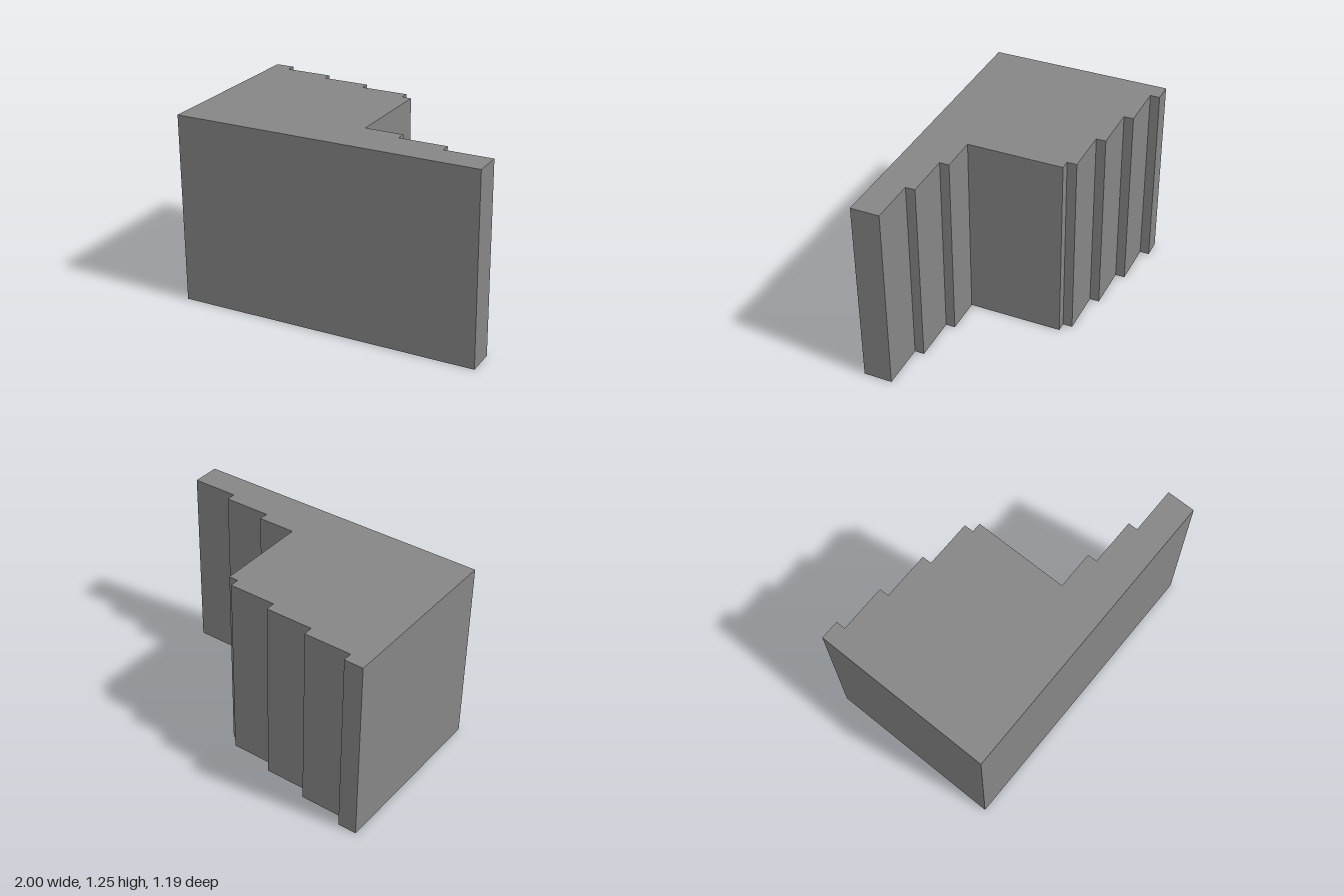
import * as THREE from 'three';

const UNIT = 1 / 16;
const HEIGHT = 20 * UNIT;
const FRONT = 9.5; // front wall, in units along z

// Back edge of the plan as steps, in units: [right end x, z of the step]
const steps = [
  [-14, -9.5], [-9, -8.5], [-4, -7.5], [1, -6.5], [2, -5.5],
  [6, 4.5], [11, 5.5], [16, 6.5],
];

export function createModel() {
  const group = new THREE.Group();
  group.name = 'steppedBlock';
  const grey = new THREE.MeshStandardMaterial({ color: 0x868686 });
  grey.name = 'grey';

  // Plan outline: straight front and side, stepped back
  const points = [new THREE.Vector2(-16, -FRONT), new THREE.Vector2(16, -FRONT)];
  for (let i = steps.length - 1; i >= 0; i--) {
    const [right, z] = steps[i];
    const left = i > 0 ? steps[i - 1][0] : -16;
    points.push(new THREE.Vector2(right, -z), new THREE.Vector2(left, -z));
  }
  const plan = new THREE.Shape(points.map((p) => p.multiplyScalar(UNIT)));

  // Raise the plan to full height
  const geometry = new THREE.ExtrudeGeometry(plan, { depth: HEIGHT, bevelEnabled: false });
  geometry.rotateX(-Math.PI / 2);
  const body = new THREE.Mesh(geometry, grey);
  body.name = 'body';
  group.add(body);
  return group;
}
